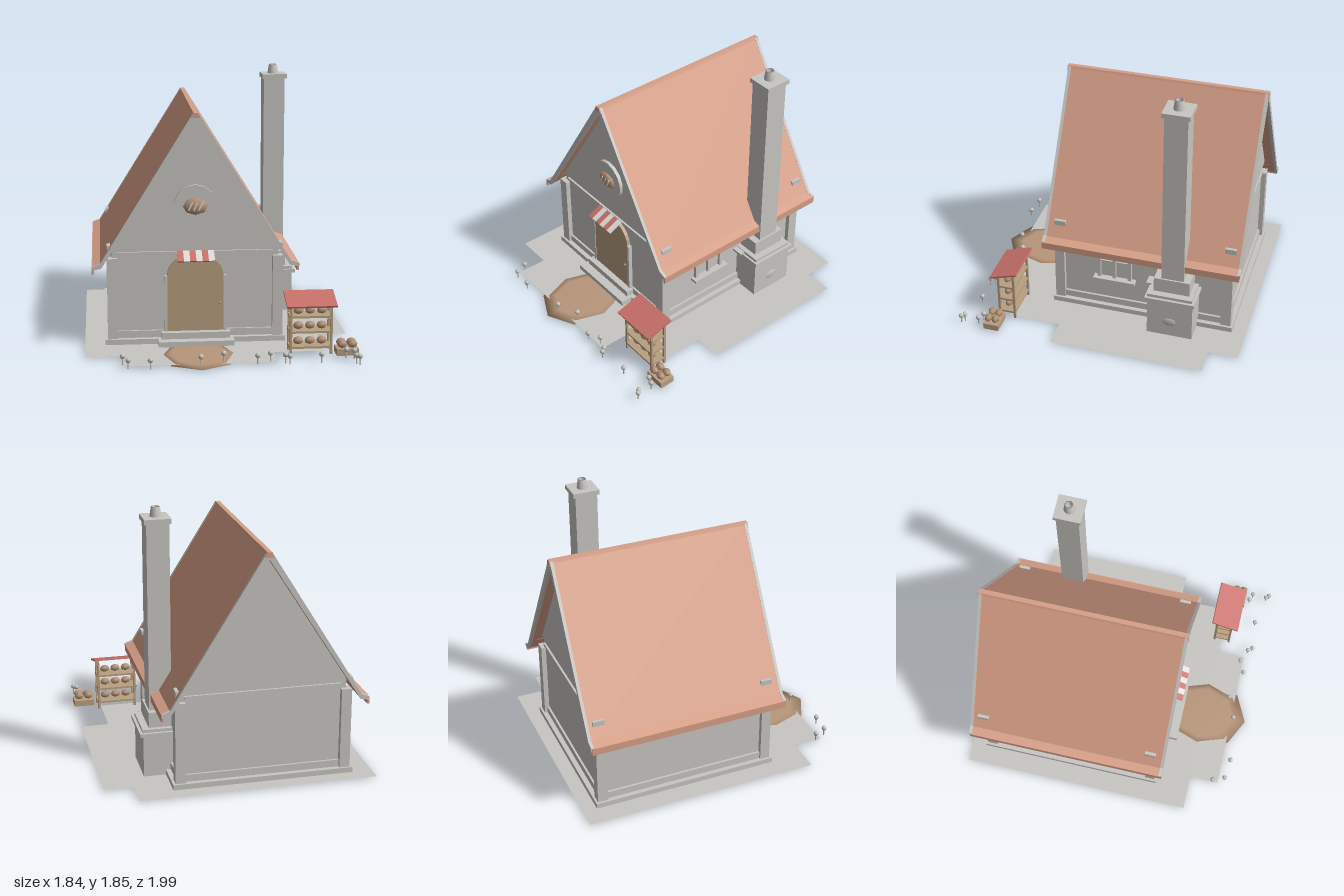
import * as THREE from 'three';

export function createModel() {
  const model = new THREE.Group();
  const mat = (name, color, side = THREE.FrontSide) => {
    const m = new THREE.MeshStandardMaterial({ color, side });
    m.name = name;
    return m;
  };
  const stone = mat('stone grey', 0xc8c6c2);
  const ground = mat('ground grey', 0xc8c6c2, THREE.DoubleSide);
  const tile = mat('roof terracotta', 0xd69f87);
  const wood = mat('wood tan', 0xb99f80);
  const crust = mat('bread crust', 0xb8967a);
  const red = mat('awning red', 0xc9706a);
  const white = mat('awning white', 0xdedcd8);

  const add = (name, geo, m, x = 0, y = 0, z = 0, parent = model) => {
    const mesh = new THREE.Mesh(geo, m);
    mesh.name = name;
    mesh.position.set(x, y, z);
    parent.add(mesh);
    return mesh;
  };
  // Box given by its limits on each axis
  const box = (name, m, [x0, x1], [y0, y1], [z0, z1], parent = model) =>
    add(name, new THREE.BoxGeometry(x1 - x0, y1 - y0, z1 - z0), m,
      (x0 + x1) / 2, (y0 + y1) / 2, (z0 + z1) / 2, parent);
  const shapeOf = pts => new THREE.Shape(pts.map(p => new THREE.Vector2(...p)));
  const extrude = (name, m, shape, z0, z1, parent) =>
    add(name, new THREE.ExtrudeGeometry(shape, { depth: z1 - z0, bevelEnabled: false, curveSegments: 6 }),
      m, 0, 0, z0, parent);
  const loaf = (name, x, y, z, rx, ry, rz) => {
    const g = new THREE.SphereGeometry(1, 6, 4);
    g.rotateZ(Math.PI / 2);
    g.scale(rx, ry, rz);
    return add(name, g, crust, x, y, z);
  };

  // Stepped paving
  const paving = new THREE.ShapeGeometry(shapeOf([
    [-0.92, 1], [0.72, 1], [0.72, 0.79], [0.92, 0.79], [0.92, -0.3], [0.72, -0.3], [0.72, -0.67],
    [0.36, -0.67], [0.36, -0.88], [-0.67, -0.88], [-0.67, -0.67], [-0.92, -0.67]]));
  paving.rotateX(-Math.PI / 2);
  add('paving', paving, ground, 0, 0.012, 0);

  // Low mound under the entrance path
  const mound = new THREE.SphereGeometry(1, 8, 4);
  mound.scale(0.275, 0.009, 0.33);
  add('pathMound', mound, crust, -0.155, 0.009, 0.66);

  // House, centred on its own axis
  const house = new THREE.Group();
  house.name = 'house';
  house.position.x = -0.155;
  model.add(house);
  box('plinth', stone, [-0.625, 0.625], [0.013, 0.05], [-0.9, 0.425], house);
  extrude('walls', stone, shapeOf([[-0.575, 0.04], [0.575, 0.04], [0.575, 0.7], [0, 1.585], [-0.575, 0.7]]),
    -0.85, 0.375, house);
  for (const [z0, z1] of [[0.375, 0.39], [-0.865, -0.85]]) {
    extrude('gablePanel', stone, shapeOf([[-0.565, 0.71], [0.565, 0.71], [0, 1.58]]), z0, z1, house);
    box('tieBeam', stone, [-0.54, 0.54], [0.64, 0.66], [z0, z1], house);
    box('lowerRail', stone, [-0.54, 0.54], [0.05, 0.1], [z0, z1], house);
  }
  for (const s of [-1, 1]) {
    const a = s * 0.535, b = s * 0.607;
    for (const [z0, z1] of [[0.34, 0.41], [-0.885, -0.81]])
      box('cornerPost', stone, [Math.min(a, b), Math.max(a, b)], [0.05, 0.62], [z0, z1], house);
    const c = s * 0.57, d = s * 0.592;
    box('sideRail', stone, [Math.min(c, d), Math.max(c, d)], [0.05, 0.1], [-0.82, 0.35], house);
  }

  // Roof with flared eaves and bargeboards at both ends
  const roofProfile = (top, low) => {
    const half = [[0.018, 1.62 + top], [0.652, 0.6 + top], [0.705, 0.58 + top],
      [0.705, 0.56 - low], [0.645, 0.575 - low], [0, 1.582 - low]];
    return shapeOf([...half, ...half.slice(0, 5).reverse().map(([x, y]) => [-x, y])]);
  };
  extrude('roofTiles', tile, roofProfile(0, 0), -0.93, 0.45, house);
  extrude('frontBargeboard', stone, roofProfile(0.004, 0.004), 0.45, 0.472, house);
  extrude('backBargeboard', stone, roofProfile(0.004, 0.004), -0.952, -0.93, house);
  extrude('ridgeCap', tile, shapeOf([[-0.032, 1.592], [0.032, 1.592], [0.016, 1.628], [-0.016, 1.628]]),
    -0.957, 0.477, house);
  for (const s of [-1, 1]) {
    const eave = s * 0.702;
    box('eaveBoard', tile, [eave - 0.008, eave + 0.008], [0.53, 0.58], [-0.945, 0.47], house);
    for (const z of [-0.86, 0.365])
      box('snowGuard', stone, [s * 0.593 - 0.012, s * 0.593 + 0.012], [0.672, 0.712], [z - 0.04, z + 0.04], house);
  }

  // Steps, arched door and its jambs
  box('lowerStep', stone, [-0.26, 0.262], [0.013, 0.05], [0.4, 0.51], house);
  box('upperStep', stone, [-0.237, 0.237], [0.05, 0.095], [0.37, 0.445], house);
  const arch = new THREE.Shape();
  arch.moveTo(-0.195, 0.095);
  arch.lineTo(0.195, 0.095);
  arch.lineTo(0.195, 0.49);
  arch.absellipse(0, 0.49, 0.195, 0.155, 0, Math.PI, false);
  extrude('door', wood, arch, 0.375, 0.4, house);
  for (const s of [-1, 1])
    box('doorJamb', stone, [s * 0.204 - 0.01, s * 0.204 + 0.01], [0.095, 0.49], [0.37, 0.405], house);
  add('doorKnob', new THREE.SphereGeometry(0.009, 8, 6), wood, 0.167, 0.295, 0.407, house);

  // Striped awning
  for (let i = 0; i < 6; i++) {
    const stripe = box('awningStripe', i % 2 ? white : red,
      [-0.127 + i * 0.0425, -0.0845 + i * 0.0425], [0.634, 0.643], [0.39, 0.505], house);
    stripe.rotation.x = 0.45;
  }

  // Gable medallion with a scored loaf
  const disc = new THREE.CylinderGeometry(0.148, 0.148, 0.03, 14);
  disc.rotateX(Math.PI / 2);
  add('medallion', disc, stone, 0, 0.98, 0.4, house);
  loaf('medallionLoaf', -0.155, 0.98, 0.415, 0.085, 0.06, 0.03);
  for (const x of [-0.035, 0, 0.035]) {
    const score = box('loafScore', white, [x - 0.005, x + 0.005], [0.952, 1.012], [0.432, 0.441], house);
    score.rotation.z = -0.45;
  }

  // Window on the left wall
  box('windowPane', stone, [0.57, 0.58], [0.285, 0.53], [-0.15, 0.095], house);
  for (const z of [0.083, -0.028, -0.14])
    box('windowMullion', stone, [0.57, 0.6], [0.285, 0.54], [z - 0.012, z + 0.012], house);
  box('windowCrossbar', stone, [0.57, 0.592], [0.415, 0.427], [-0.14, 0.083], house);
  box('windowSill', stone, [0.57, 0.63], [0.268, 0.288], [-0.185, 0.12], house);

  // Chimney with oven base
  box('ovenBase', stone, [0.41, 0.622], [0.013, 0.305], [-0.645, -0.32]);
  box('ovenLedgeLower', stone, [0.41, 0.645], [0.305, 0.33], [-0.66, -0.305]);
  box('ovenLedgeUpper', stone, [0.41, 0.625], [0.33, 0.352], [-0.64, -0.32]);
  box('chimneyShoulder', stone, [0.41, 0.577], [0.352, 0.46], [-0.61, -0.355]);
  box('sideShelf', stone, [0.41, 0.5], [0.33, 0.347], [-0.325, -0.28]);
  box('chimneyStack', stone, [0.412, 0.565], [0.46, 1.755], [-0.565, -0.405]);
  box('chimneyCap', stone, [0.4, 0.58], [1.752, 1.785], [-0.582, -0.39]);
  const pot = [[0.04, 0], [0.03, 0.065], [0.022, 0.065], [0.022, 0.01], [0, 0.01]];
  add('chimneyPot', new THREE.LatheGeometry(pot.map(p => new THREE.Vector2(...p)), 12), stone, 0.488, 1.785, -0.486);
  const mouth = new THREE.SphereGeometry(1, 12, 8);
  mouth.scale(0.008, 0.032, 0.05);
  add('ovenMouth', mouth, stone, 0.62, 0.13, -0.482);

  // Bread stall
  for (const x of [0.463, 0.738])
    for (const [z, h] of [[0.737, 0.36], [0.625, 0.395]])
      box('stallPost', wood, [x - 0.008, x + 0.008], [0.013, h], [z - 0.008, z + 0.008]);
  for (const y of [0.055, 0.162, 0.268]) {
    box('stallShelf', wood, [0.455, 0.746], [y, y + 0.014], [0.617, 0.745]);
    for (const x of [0.52, 0.6, 0.68]) loaf('stallLoaf', x, y + 0.043, 0.688, 0.036, 0.029, 0.028);
  }
  const canopy = box('stallCanopy', red, [0.43, 0.77], [0.38, 0.393], [0.585, 0.792]);
  canopy.rotation.x = 0.3;

  // Crate of loaves
  box('crate', wood, [0.768, 0.918], [0.015, 0.06], [0.688, 0.798]);
  for (const x of [0.808, 0.878])
    for (const z of [0.718, 0.77]) loaf('crateLoaf', x, 0.09, z, 0.034, 0.029, 0.027);

  // Round-topped path markers
  const markers = [[-0.67, 0.84], [-0.635, 0.925], [-0.49, 0.94], [-0.155, 0.895], [0, 0.835], [0.22, 0.9], [0.31, 0.86],
    [0.405, 0.9], [0.43, 0.93], [0.645, 0.91], [0.825, 0.83], [0.875, 0.85], [0.87, 0.955], [0.89, 0.975]];
  for (const [x, z] of markers) {
    add('markerStem', new THREE.CylinderGeometry(0.005, 0.005, 0.055, 5), stone, x, 0.038, z);
    add('markerBall', new THREE.SphereGeometry(0.019, 6, 4), stone, x, 0.07, z);
  }
  return model;
}
